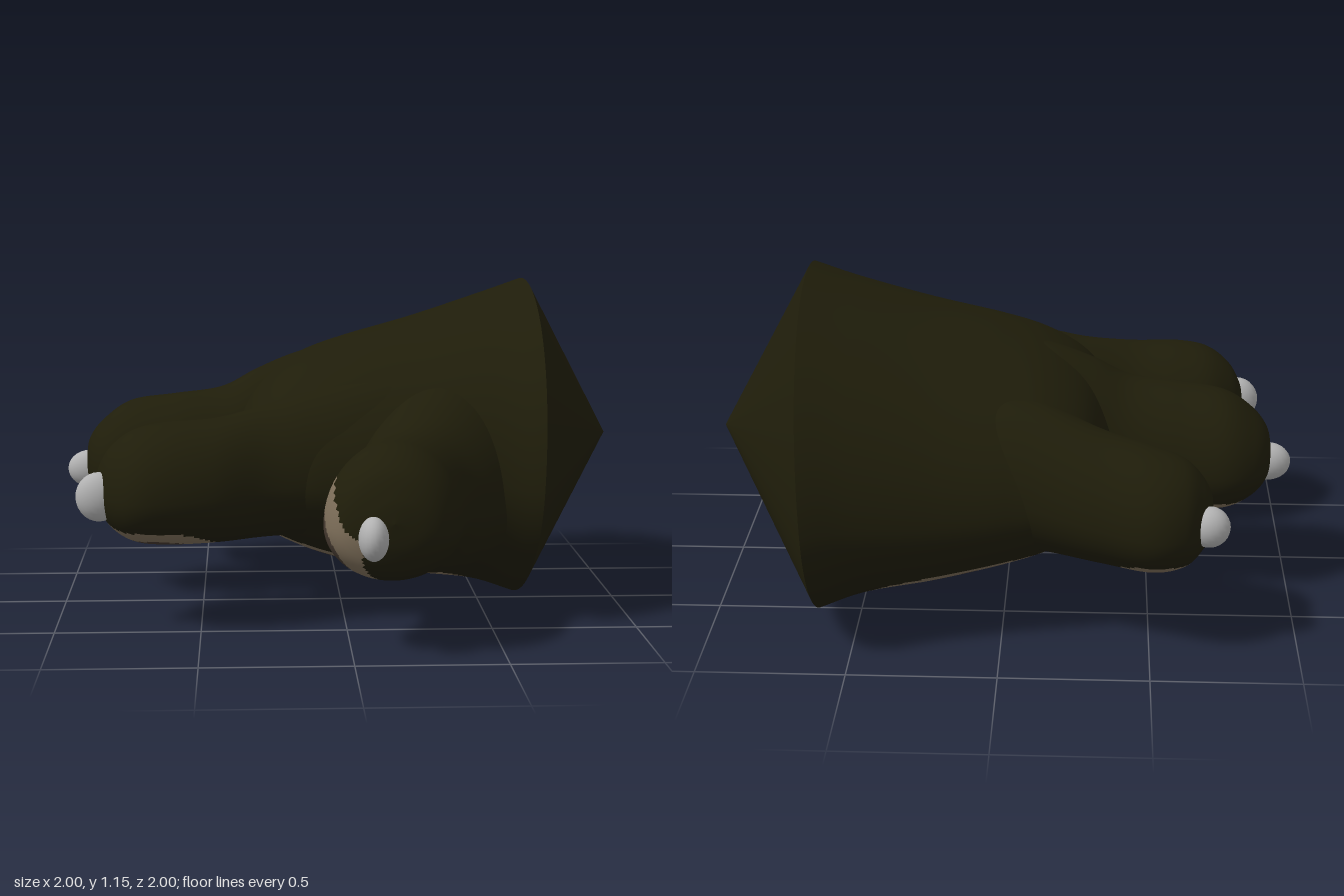
import * as THREE from 'three';

const mat = (name, color) => {
  const m = new THREE.MeshStandardMaterial({ color });
  m.name = name;
  return m;
};

// Loft along -x. Sections: [x, zMin, zMax, yTop, yBottom].
// Pads: [x centre, half length, angle from the underside, half angle]; faces inside get pad colours.
function loft(sections, pads, around, along, shearY = 0, shearZ = 0) {
  const curve = (f) => new THREE.CatmullRomCurve3(
    sections.map((s) => new THREE.Vector3(...f(s))), false, 'catmullrom', 0.5);
  const plan = curve((s) => [s[0], s[1], s[2]]);
  const side = curve((s) => [s[3], s[4], 0]);
  const pos = [];
  const buckets = [[], [], []];
  for (let i = 0; i <= along; i++) {
    const p = plan.getPoint(i / along), h = side.getPoint(i / along);
    const next = plan.getPoint(Math.min(1, (i + 1) / along));
    const mid = h.y + (h.x - h.y) * 0.41;
    for (let j = 0; j < around; j++) {
      const a = (j / around) * Math.PI * 2 - Math.PI * 1.5; // seam on top
      const z = (p.y + p.z) / 2 + ((p.z - p.y) / 2) * Math.cos(a);
      const s = Math.sin(a);
      const y = mid + s * (s > 0 ? h.x - mid : mid - h.y);
      pos.push(p.x + shearY * (y - 0.58) + shearZ * (z + 0.24), y, z);
      if (i === along) continue;
      const x = (p.x + next.x) / 2;
      const off = ((j + 0.5) / around) * Math.PI * 2 - Math.PI;
      let paint = 0;
      for (const [cx, hx, a0, ha] of pads) {
        const d = Math.hypot((x - cx) / hx, (off - a0) / ha);
        if (d < 0.6) paint = 2;
        else if (d < 1 && paint === 0) paint = 1;
      }
      const k = (j + 1) % around, r = i * around, q = r + around;
      buckets[paint].push(r + j, r + k, q + j, r + k, q + k, q + j);
    }
  }
  const g = new THREE.BufferGeometry();
  g.setAttribute('position', new THREE.Float32BufferAttribute(pos, 3));
  g.setIndex(buckets.flat());
  let start = 0;
  buckets.forEach((b, i) => {
    if (b.length) g.addGroup(start, b.length, i);
    start += b.length;
  });
  g.computeVertexNormals();
  return g;
}

export function createModel() {
  const skin = mat('dark olive skin', 0x1f1d0a);
  const padRim = mat('tan pad rim', 0x7d6e59);
  const padCore = mat('brown pad centre', 0x463a30);
  const clawGrey = mat('claw grey', 0xb2b2b2);
  const skins = [skin, padRim, padCore];

  const model = new THREE.Group();
  model.name = 'paw';
  const add = (name, geometry, material) => {
    const m = new THREE.Mesh(geometry, material);
    m.name = name;
    model.add(m);
    return m;
  };

  // Palm flaring to the wrist, with two large pads underneath
  const N = 160;
  const palm = loft([
    [0.66, -1.0, 0.52, 1.155, 0.0],
    [0.5, -0.93, 0.47, 1.1, 0.05],
    [0.25, -0.855, 0.46, 1.02, 0.085],
    [0.0, -0.8, 0.46, 0.95, 0.145],
    [-0.15, -0.76, 0.45, 0.895, 0.2],
    [-0.27, -0.66, 0.4, 0.82, 0.265],
    [-0.345, -0.48, 0.3, 0.73, 0.34],
    [-0.385, -0.32, 0.16, 0.62, 0.43],
    [-0.395, -0.1, -0.1, 0.52, 0.52],
  ], [[0.15, 0.37, -0.5, 0.38], [0.06, 0.44, 0.22, 0.39]], N, 160, 0.052, 0.026);
  add('palm', palm, skins);

  // Pointed cap closing the wrist
  const rim = palm.getAttribute('position');
  const capPos = [];
  for (let j = 0; j < N; j++) {
    capPos.push(1, 0.58, -0.23);
    for (const k of [(j + 1) % N, j]) capPos.push(rim.getX(k), rim.getY(k), rim.getZ(k));
  }
  const cap = new THREE.BufferGeometry();
  cap.setAttribute('position', new THREE.Float32BufferAttribute(capPos, 3));
  cap.computeVertexNormals();
  add('wristCap', cap, skin);

  // Three fingers rising into the back of the palm, each with a pad under the tip
  add('backFinger', loft([
    [0.2, -0.7, -0.25, 0.86, 0.3],
    [0.05, -0.76, -0.28, 0.84, 0.29],
    [-0.13, -0.795, -0.34, 0.8, 0.29],
    [-0.33, -0.855, -0.42, 0.73, 0.28],
    [-0.5, -0.9, -0.465, 0.69, 0.27],
    [-0.61, -0.87, -0.51, 0.65, 0.29],
    [-0.67, -0.8, -0.57, 0.59, 0.34],
    [-0.7, -0.74, -0.63, 0.53, 0.4],
    [-0.705, -0.68, -0.68, 0.47, 0.47],
  ], [[-0.51, 0.155, 0, 0.9]], 80, 90), skins);
  add('middleFinger', loft([
    [0.05, -0.42, 0.0, 0.94, 0.35],
    [-0.15, -0.41, 0.01, 0.89, 0.33],
    [-0.3, -0.39, 0.02, 0.83, 0.31],
    [-0.43, -0.385, 0.03, 0.765, 0.3],
    [-0.6, -0.4, 0.045, 0.74, 0.295],
    [-0.76, -0.41, 0.03, 0.715, 0.3],
    [-0.86, -0.365, 0.0, 0.65, 0.345],
    [-0.915, -0.29, -0.08, 0.58, 0.41],
    [-0.93, -0.19, -0.19, 0.5, 0.5],
  ], [[-0.69, 0.2, 0, 0.9]], 80, 90), skins);
  add('frontFinger', loft([
    [0.2, -0.05, 0.4, 0.87, 0.3],
    [0.02, -0.02, 0.43, 0.83, 0.29],
    [-0.14, 0.02, 0.45, 0.79, 0.29],
    [-0.28, 0.07, 0.48, 0.75, 0.29],
    [-0.45, 0.125, 0.56, 0.715, 0.285],
    [-0.62, 0.14, 0.605, 0.705, 0.285],
    [-0.73, 0.165, 0.595, 0.68, 0.3],
    [-0.81, 0.23, 0.52, 0.62, 0.35],
    [-0.85, 0.29, 0.43, 0.55, 0.42],
    [-0.86, 0.36, 0.36, 0.49, 0.49],
  ], [[-0.64, 0.2, 0, 0.9]], 80, 90), skins);

  // Thumb with a flared root, turned to point forward; its pad faces inward
  add('thumb', loft([
    [-0.26, 0.06, 0.66, 0.84, 0.18],
    [-0.4, 0.02, 0.6, 0.78, 0.18],
    [-0.5, 0.0, 0.52, 0.73, 0.2],
    [-0.59, -0.02, 0.43, 0.7, 0.225],
    [-0.69, -0.075, 0.385, 0.69, 0.23],
    [-0.8, -0.09, 0.36, 0.68, 0.235],
    [-0.89, -0.045, 0.31, 0.62, 0.27],
    [-0.935, 0.04, 0.24, 0.53, 0.35],
    [-0.95, 0.13, 0.13, 0.45, 0.45],
  ], [[-0.735, 0.19, -1.15, 1.05]], 80, 90), skins).rotation.y = Math.PI / 2;

  // Blunt claws: [name, centre, radii]
  const claws = [
    ['backClaw', [-0.69, 0.45, -0.765], [0.07, 0.07, 0.06]],
    ['middleClaw', [-0.92, 0.46, -0.195], [0.08, 0.068, 0.056]],
    ['frontClaw', [-0.845, 0.46, 0.44], [0.08, 0.085, 0.058]],
    ['thumbClaw', [0.065, 0.4, 0.925], [0.05, 0.075, 0.075]],
  ];
  const ball = new THREE.SphereGeometry(1, 20, 14);
  for (const [name, centre, radii] of claws) {
    const claw = add(name, ball, clawGrey);
    claw.position.set(...centre);
    claw.scale.set(...radii);
  }
  return model;
}
